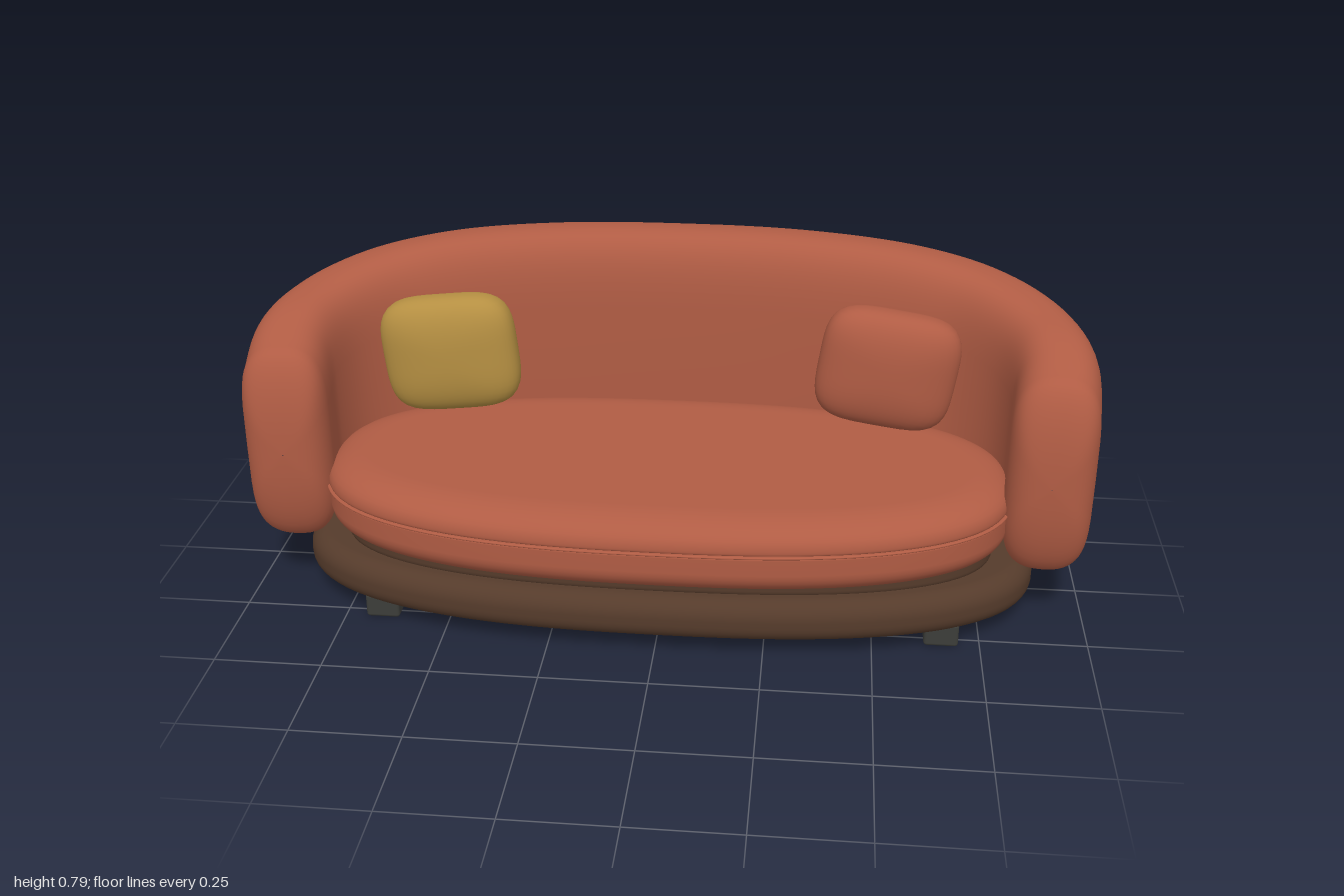
import * as THREE from 'three';
import { RoundedBoxGeometry } from 'three/addons/geometries/RoundedBoxGeometry.js';

const mat = (color) => new THREE.MeshStandardMaterial({ color, roughness: 0.9 });
const fabric = mat(0xb05c44), gold = mat(0xb58f42), wood = mat(0x553b2b), metal = mat(0x3c3d39);

const spow = (v, e) => Math.sign(v) * Math.abs(v) ** e;

// Skins a list of closed rings (equal point counts) with smooth normals
function loft(rings) {
  const m = rings[0].length, index = [];
  for (let i = 0; i < rings.length - 1; i++) {
    for (let j = 0; j < m; j++) {
      const a = i * m + j, b = i * m + (j + 1) % m, c = a + m, d = b + m;
      index.push(a, c, b, b, c, d);
    }
  }
  const g = new THREE.BufferGeometry().setFromPoints(rings.flat());
  g.setIndex(index);
  g.computeVertexNormals();
  return g;
}

// Oval slab: profile lists [inset from the rim, height] from bottom to top
function ovalSlab(rx, rz, cz, profile, n = 2.5) {
  const m = 96;
  return loft(profile.map(([inset, y]) => Array.from({ length: m }, (_, j) => {
    const t = (j / m) * Math.PI * 2;
    const x = Math.max(rx - inset, 0.001), z = Math.max(rz - inset, 0.001);
    const k = inset >= rz ? 0.001 : 1;
    return new THREE.Vector3(x * k * spow(Math.cos(t), 2 / n), y, cz + z * k * spow(Math.sin(t), 2 / n));
  })));
}

// Profile with quarter-round lower and upper edges
function roundedProfile(y0, y1, rBottom, rTop, widthBottom = rBottom, widthTop = rTop) {
  const p = [[9, y0], [widthBottom + 0.08, y0]];
  for (let i = 0; i <= 8; i++) {
    const a = (i / 8) * Math.PI / 2;
    p.push([widthBottom * (1 - Math.sin(a)), y0 + rBottom * (1 - Math.cos(a))]);
  }
  for (let i = 0; i <= 8; i++) {
    const a = (i / 8) * Math.PI / 2;
    p.push([widthTop * (1 - Math.cos(a)), y1 - rTop * (1 - Math.sin(a))]);
  }
  p.push([widthTop + 0.08, y1], [9, y1]);
  return p;
}

// Wraparound back and arms: a tall soft section swept along a curved plan
function backShell() {
  const half = [ // x, top height, z
    [0.3, 0.786, -0.336], [0.55, 0.77, -0.306], [0.7, 0.748, -0.262], [0.8, 0.728, -0.185],
    [0.865, 0.707, -0.09], [0.897, 0.684, 0.03], [0.888, 0.64, 0.155],
  ].map((p) => new THREE.Vector3(...p));
  const path = new THREE.CatmullRomCurve3([
    ...half.map((p) => new THREE.Vector3(-p.x, p.y, p.z)).reverse(),
    new THREE.Vector3(0, 0.79, -0.345), ...half,
  ]);
  const bottom = 0.15, up = new THREE.Vector3(0, 1, 0), m = 56;
  const ring = (u, advance, sw, sh) => {
    const c = path.getPointAt(u), t = path.getTangentAt(u).setY(0).normalize();
    const n = t.clone().cross(up), h = (c.y - bottom) / 2;
    c.addScaledVector(t, advance);
    return Array.from({ length: m }, (_, j) => {
      const a = (j / m) * Math.PI * 2;
      return new THREE.Vector3(c.x, bottom + h + h * sh * spow(Math.sin(a), 0.4), c.z)
        .addScaledVector(n, 0.1 * sw * spow(Math.cos(a), 0.8));
    });
  };
  const rings = [], steps = 90, caps = 10;
  const cap = (i, u, dir) => {
    const a = (i / caps) * Math.PI / 2, s = Math.max(Math.cos(a), 0.001);
    rings.push(ring(u, dir * 0.078 * Math.sin(a), s ** 0.6, s ** 0.9));
  };
  for (let i = caps; i > 0; i--) cap(i, 0, -1);
  for (let i = 0; i <= steps; i++) rings.push(ring(i / steps, 0, 1, 1));
  for (let i = 1; i <= caps; i++) cap(i, 1, 1);
  return loft(rings);
}

// Plump square cushion: a sphere pushed out to a soft box
function pillow(w, h, d) {
  const g = new THREE.SphereGeometry(1, 48, 32), p = g.attributes.position;
  for (let i = 0; i < p.count; i++) {
    const x = p.getX(i), y = p.getY(i), z = p.getZ(i);
    const r = ((x ** 4 + y ** 4) ** (2.6 / 4) + Math.abs(z) ** 2.6) ** (1 / 2.6);
    p.setXYZ(i, (x / r) * w / 2, (y / r) * h / 2, (z / r) * d / 2);
  }
  g.computeVertexNormals();
  return g;
}

export function createModel() {
  const sofa = new THREE.Group();
  sofa.name = 'sofa';
  const add = (name, geometry, material, x = 0, y = 0, z = 0) => {
    const mesh = new THREE.Mesh(geometry, material);
    mesh.name = name;
    mesh.position.set(x, y, z);
    sofa.add(mesh);
    return mesh;
  };

  // Base and recessed plinth
  add('base', ovalSlab(0.88, 0.3625, 0.0375, roundedProfile(0.045, 0.15, 0.045, 0.045)), wood);
  add('plinth', ovalSlab(0.78, 0.29, 0.06, roundedProfile(0.14, 0.195, 0.02, 0.02)), wood);

  // Seat in two halves with a thin piped seam
  add('seatLower', ovalSlab(0.81, 0.365, 0.072, roundedProfile(0.19, 0.296, 0.06, 0.008, 0.07, 0.006)), fabric);
  add('seatUpper', ovalSlab(0.81, 0.365, 0.072, roundedProfile(0.298, 0.366, 0.008, 0.055, 0.006, 0.1)), fabric);
  add('seatPiping', ovalSlab(0.815, 0.371, 0.072, roundedProfile(0.294, 0.3, 0.003, 0.003)), fabric);

  add('backAndArms', backShell(), fabric);

  // Loose pillows leaning outward
  add('goldPillow', pillow(0.335, 0.295, 0.145), gold, -0.557, 0.516, -0.138).rotation.z = 0.11;
  add('redPillow', pillow(0.335, 0.295, 0.145), fabric, 0.517, 0.516, -0.138).rotation.z = -0.15;

  // Feet
  for (const x of [-0.66, 0.66]) {
    for (const z of [0.237, -0.163]) {
      add('foot', new RoundedBoxGeometry(0.08, 0.06, 0.095, 2, 0.008), metal, x, 0.03, z);
    }
  }
  return sofa;
}
